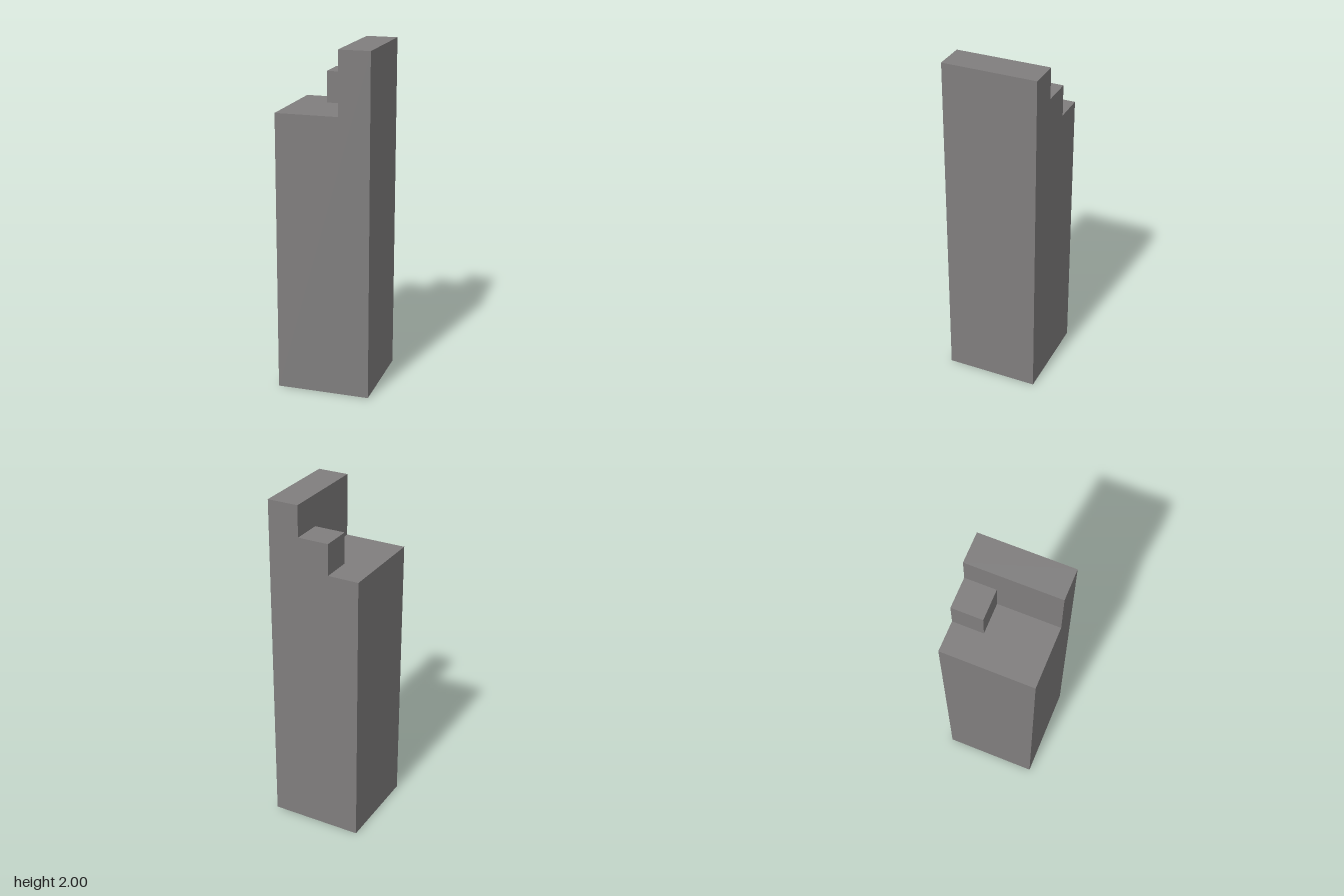
import * as THREE from 'three';

const U = 2 / 11; // one grid cell: the pillar is 3 x 11 x 3 cells

export function createModel() {
  const group = new THREE.Group();
  group.name = 'steppedPillar';
  const stone = new THREE.MeshStandardMaterial({ color: 0x807e7e });
  stone.name = 'stone grey';

  // Column with a tall wall along its left side, as one extruded outline
  const outline = new THREE.Shape(
    [[-1.5, 0], [1.5, 0], [1.5, 11], [0.5, 11], [0.5, 9], [-1.5, 9]]
      .map(([x, y]) => new THREE.Vector2(x * U, y * U))
  );
  const columnGeometry = new THREE.ExtrudeGeometry(outline, { depth: 3 * U, bevelEnabled: false });
  columnGeometry.translate(0, 0, -1.5 * U);
  const column = new THREE.Mesh(columnGeometry, stone);
  column.name = 'columnWithWall';
  group.add(column);

  // Small cube step at the back, against the wall
  const step = new THREE.Mesh(new THREE.BoxGeometry(U, U, U), stone);
  step.name = 'cornerStep';
  step.position.set(0, 9.5 * U, -U);
  group.add(step);

  return group;
}
